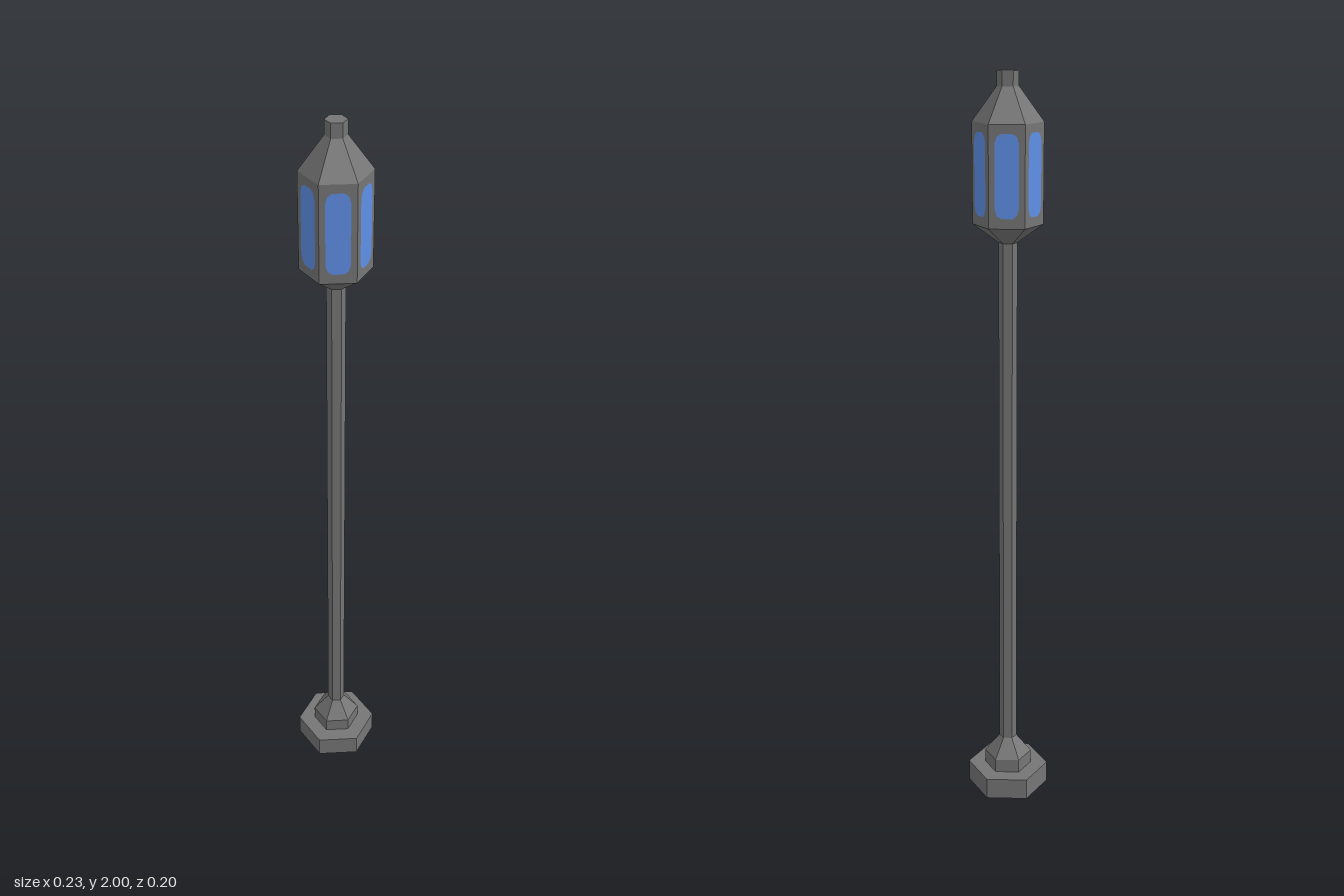
import * as THREE from 'three';

const iron = new THREE.MeshStandardMaterial({ color: 0x757575, flatShading: true, side: THREE.DoubleSide });
iron.name = 'grey iron';
const glass = new THREE.MeshStandardMaterial({ color: 0x5f8fe6, side: THREE.DoubleSide });
glass.name = 'blue glass';

// Six-sided shell with corners on the x axis, from [radius, height] pairs
function hexShell(name, profile) {
  const points = profile.map(([r, y]) => new THREE.Vector2(r, y));
  const mesh = new THREE.Mesh(new THREE.LatheGeometry(points, 6, Math.PI / 2), iron);
  mesh.name = name;
  return mesh;
}

export function createModel() {
  const group = new THREE.Group();
  group.name = 'streetLamp';

  // Hollow foot, open underneath
  group.add(hexShell('base', [[0.113, 0], [0.113, 0.061], [0.066, 0.061]]));
  group.add(hexShell('collar', [[0.066, 0.061], [0.066, 0.1], [0.024, 0.151]]));
  group.add(hexShell('pole', [[0.024, 0.151], [0.024, 1.578]]));

  // Lantern housing, roof and finial
  group.add(hexShell('lanternCup', [[0.024, 1.578], [0.09, 1.625]]));
  group.add(hexShell('lanternBody', [[0.09, 1.625], [0.09, 1.878]]));
  group.add(hexShell('lanternRoof', [[0.09, 1.878], [0.0275, 1.963]]));
  group.add(hexShell('finial', [[0.0275, 1.963], [0.0275, 2], [0, 2]]));

  // Panes with chamfered ends, one per side
  const w = 0.03, h = 0.103;
  const pane = new THREE.Shape([
    [-0.014, -h], [0.014, -h], [0.025, -h + 0.008], [w, -h + 0.024],
    [w, h - 0.024], [0.025, h - 0.008], [0.014, h], [-0.014, h],
    [-0.025, h - 0.008], [-w, h - 0.024], [-w, -h + 0.024], [-0.025, -h + 0.008],
  ].map(([x, y]) => new THREE.Vector2(x, y)));
  const paneGeometry = new THREE.ShapeGeometry(pane);
  paneGeometry.translate(0, 1.753, 0.09 * Math.cos(Math.PI / 6) + 0.001);
  for (let i = 0; i < 6; i++) {
    const mesh = new THREE.Mesh(paneGeometry, glass);
    mesh.name = `pane${i + 1}`;
    mesh.rotation.y = (i * Math.PI) / 3;
    group.add(mesh);
  }
  return group;
}
